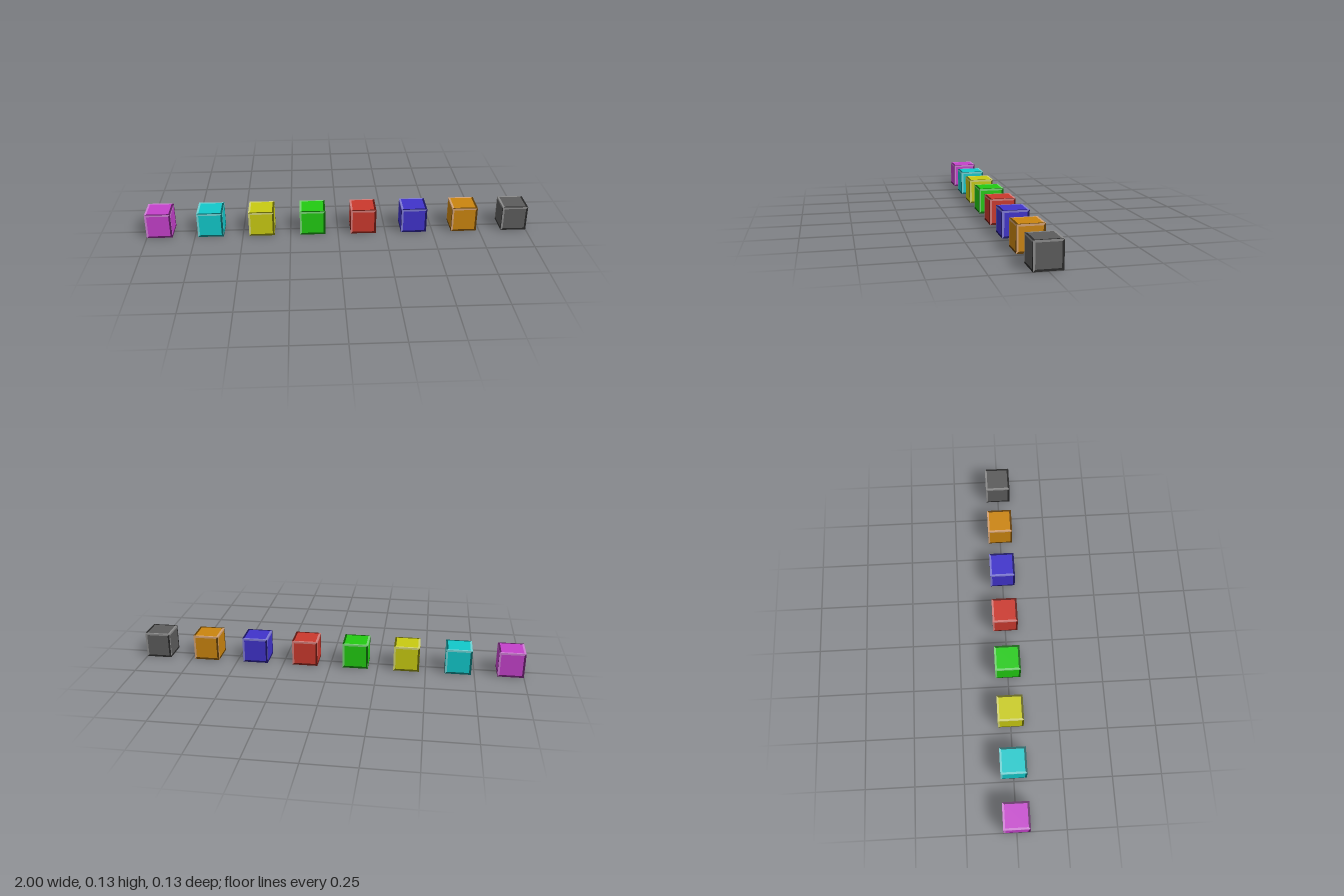
import * as THREE from 'three';
import { mergeGeometries } from 'three/addons/utils/BufferGeometryUtils.js';

const SIZE = 2 / 15, HALF = SIZE / 2, BORDER = 0.01, INNER = HALF - BORDER;
const BLOCKS = [
  ['magenta', 0xc441cb], ['cyan', 0x12c9cb], ['yellow', 0xc9cb12], ['green', 0x22cb12],
  ['red', 0xcb392d], ['blue', 0x4033cb], ['orange', 0xcb850f], ['grey', 0x5c5c5c],
];

// Rotations carrying a +z facing panel to each side of the cube
const SIDES = [
  [0, 0], [0, Math.PI / 2], [0, Math.PI], [0, -Math.PI / 2], [-Math.PI / 2, 0], [Math.PI / 2, 0],
];

// Repeat one flat outline on all six sides
function onAllSides(flat) {
  return mergeGeometries(SIDES.map(([rx, ry]) =>
    flat.clone().translate(0, 0, HALF).rotateX(rx).rotateY(ry)));
}

// Mitred L running along the left and top edges of a side
function trimOutline() {
  const points = [
    [-HALF, -HALF], [-INNER, -INNER], [-INNER, INNER], [INNER, INNER], [HALF, HALF], [-HALF, HALF],
  ];
  return new THREE.ShapeGeometry(new THREE.Shape(points.map(([x, y]) => new THREE.Vector2(x, y))));
}

export function createModel() {
  const model = new THREE.Group();
  model.name = 'blockRow';

  const panels = onAllSides(new THREE.PlaneGeometry(2 * INNER, 2 * INNER));
  const lightTrim = onAllSides(trimOutline());
  const darkTrim = onAllSides(trimOutline().rotateZ(Math.PI));

  BLOCKS.forEach(([name, hex], i) => {
    const block = new THREE.Group();
    block.name = `${name}Block`;
    const color = new THREE.Color(hex);
    const add = (part, geometry, partColor) => {
      const mesh = new THREE.Mesh(geometry, new THREE.MeshStandardMaterial({ color: partColor }));
      mesh.name = part;
      block.add(mesh);
    };
    add('facePanels', panels, color);
    add('lightTrim', lightTrim, color.clone().lerp(new THREE.Color(0xffffff), 0.17));
    add('darkTrim', darkTrim, color.clone().multiplyScalar(0.2));

    // Evenly spaced, one block width apart
    block.position.set(-1 + HALF + i * SIZE * 2, HALF, 0);
    model.add(block);
  });
  return model;
}
